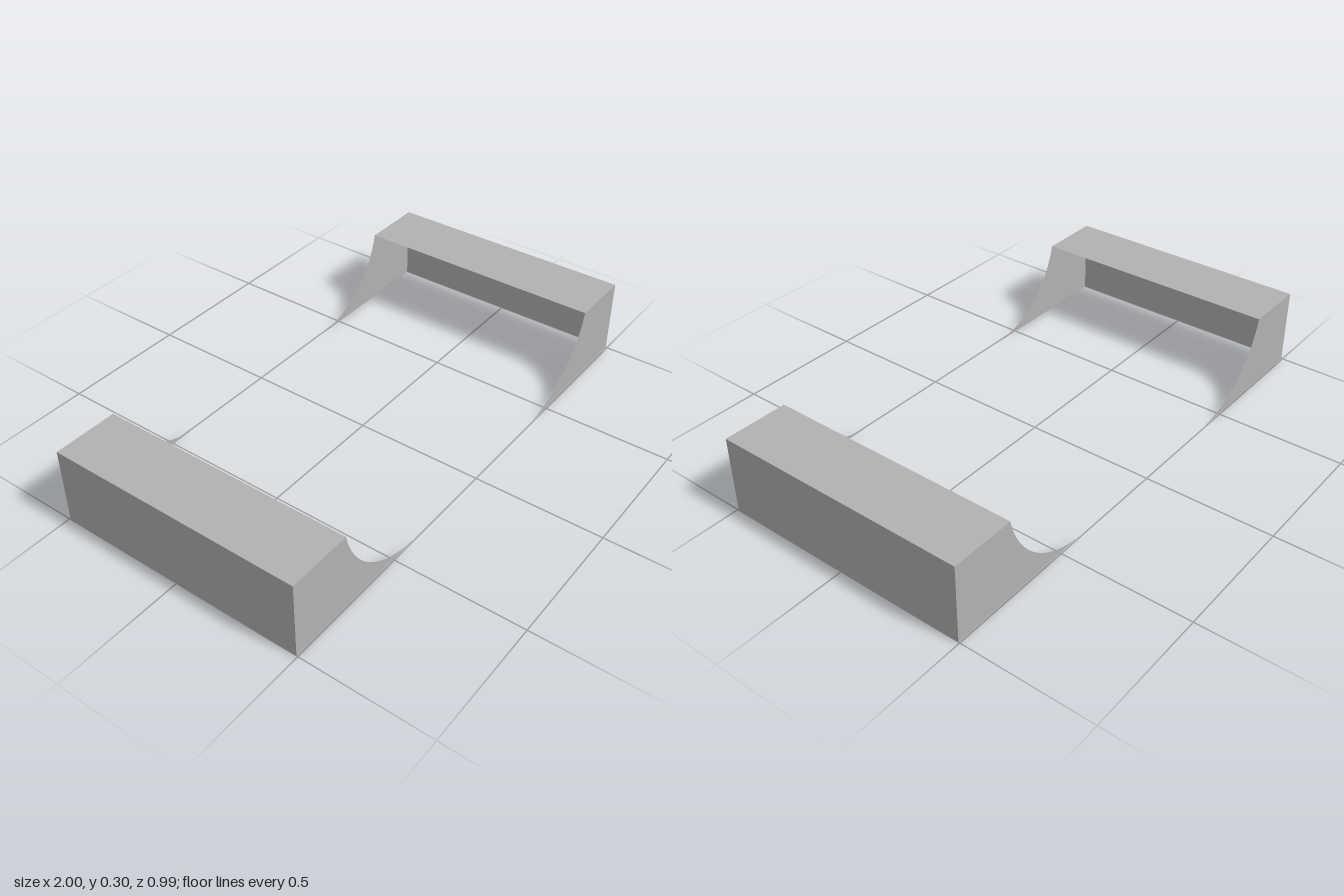
import * as THREE from 'three';

// Pair of mirrored open ramp shells: thin outer wall, top deck and two curved end panels
const OUTER = 1, LIP = 0.75, TIP = 0.38, HEIGHT = 0.3, HALF_DEPTH = 0.495;

function panelShape() {
  const run = LIP - TIP;
  const radius = (run * run + HEIGHT * HEIGHT) / (2 * HEIGHT);
  const sweep = Math.atan2(run, radius - HEIGHT);
  const shape = new THREE.Shape();
  shape.moveTo(TIP, 0);
  shape.lineTo(OUTER, 0);
  shape.lineTo(OUTER, HEIGHT);
  shape.lineTo(LIP, HEIGHT);
  // Concave arc, level at the tip and steep at the lip
  shape.absarc(TIP, radius, radius, -Math.PI / 2 + sweep, -Math.PI / 2, true);
  return shape;
}

export function createModel() {
  const group = new THREE.Group();
  const grey = new THREE.MeshStandardMaterial({ color: 0xb2b2b2, side: THREE.DoubleSide });
  grey.name = 'grey';

  const panelGeometry = new THREE.ShapeGeometry(panelShape(), 24);
  const wallGeometry = new THREE.PlaneGeometry(2 * HALF_DEPTH, HEIGHT).rotateY(Math.PI / 2);
  const deckGeometry = new THREE.PlaneGeometry(OUTER - LIP, 2 * HALF_DEPTH).rotateX(-Math.PI / 2);

  for (const side of [1, -1]) {
    const ramp = new THREE.Group();
    ramp.name = side > 0 ? 'leftRamp' : 'rightRamp';
    const add = (name, geometry, x, y, z, turn = 0) => {
      const mesh = new THREE.Mesh(geometry, grey);
      mesh.name = name;
      mesh.position.set(x, y, z);
      mesh.rotation.y = turn;
      ramp.add(mesh);
    };
    add('outerWall', wallGeometry, OUTER, HEIGHT / 2, 0);
    add('topDeck', deckGeometry, (OUTER + LIP) / 2, HEIGHT, 0);
    add('endPanel', panelGeometry, 0, 0, HALF_DEPTH);
    add('endPanel', panelGeometry, 0, 0, -HALF_DEPTH);
    // The shell is symmetric front to back, so a half turn mirrors it
    if (side < 0) ramp.rotation.y = Math.PI;
    group.add(ramp);
  }
  return group;
}
